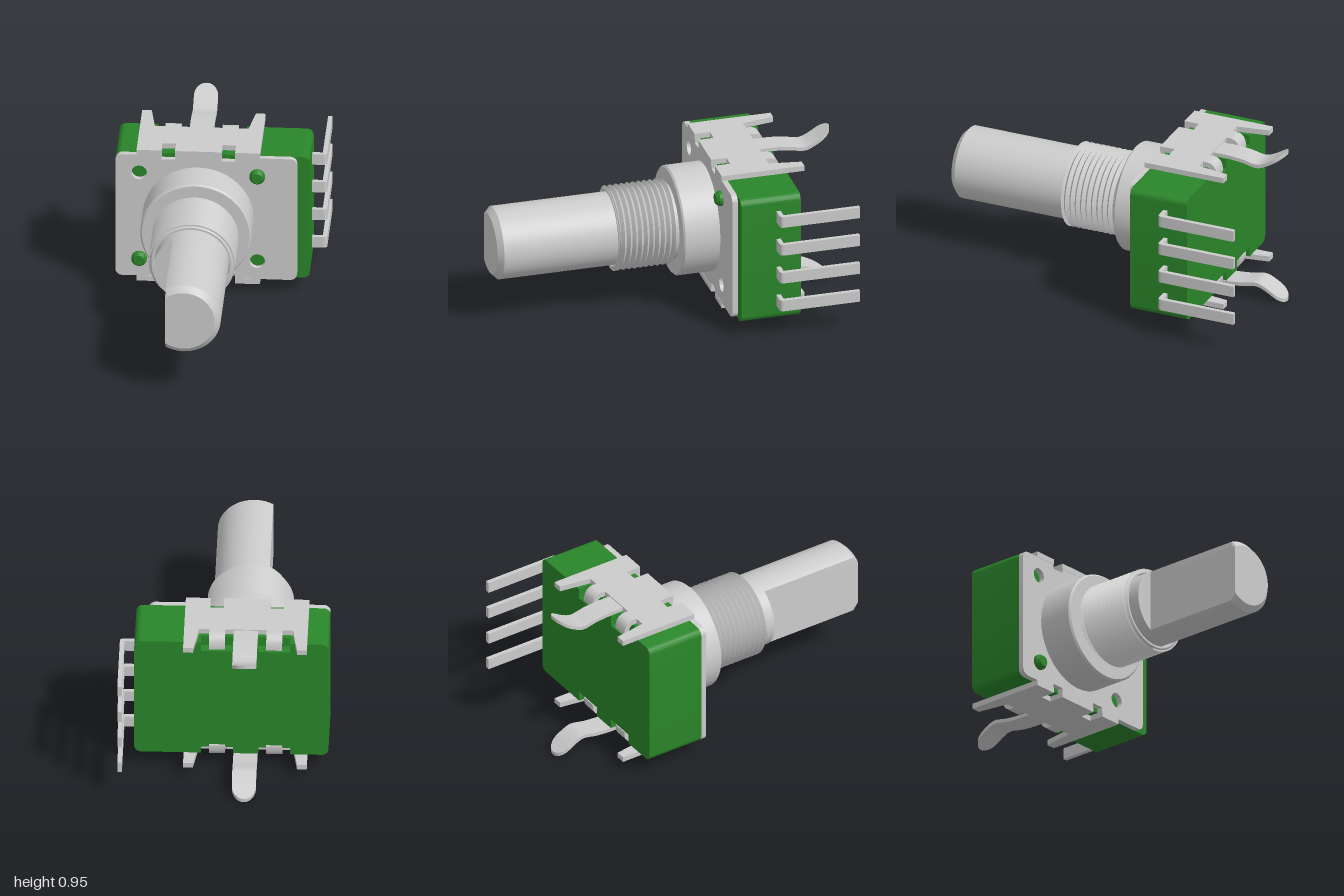
import * as THREE from 'three';
import { toCreasedNormals } from 'three/addons/utils/BufferGeometryUtils.js';

const metal = new THREE.MeshStandardMaterial({ color: 0xcccccc });
const green = new THREE.MeshStandardMaterial({ color: 0x2a862a });

function part(parent, name, geometry, material = metal) {
  const mesh = new THREE.Mesh(toCreasedNormals(geometry, 0.5), material);
  mesh.name = name;
  parent.add(mesh);
  return mesh;
}

function polygon(points) {
  return new THREE.Shape(points.map(([x, y]) => new THREE.Vector2(x, y)));
}

function extrude(shape, depth) {
  return new THREE.ExtrudeGeometry(shape, { depth, bevelEnabled: false, curveSegments: 16 });
}

// Rounded rectangle with pairs of notches [x0, x1, depth] cut in its top and bottom edges
function notchedPanel(x0, x1, h, r, notches) {
  const s = new THREE.Shape();
  s.moveTo(x0 + r, -h);
  for (const [a, b, d] of notches) {
    s.lineTo(a, -h); s.lineTo(a, -h + d); s.lineTo(b, -h + d); s.lineTo(b, -h);
  }
  s.lineTo(x1 - r, -h);
  s.absarc(x1 - r, -h + r, r, -Math.PI / 2, 0, false);
  s.absarc(x1 - r, h - r, r, 0, Math.PI / 2, false);
  for (const [a, b, d] of [...notches].reverse()) {
    s.lineTo(b, h); s.lineTo(b, h - d); s.lineTo(a, h - d); s.lineTo(a, h);
  }
  s.absarc(x0 + r, h - r, r, Math.PI / 2, Math.PI, false);
  s.absarc(x0 + r, -h + r, r, Math.PI, Math.PI * 1.5, false);
  return s;
}

// Lathe profile of [radius, z] turned about the z axis
function turned(profile, segments = 72) {
  return new THREE.LatheGeometry(profile.map(([r, z]) => new THREE.Vector2(r, z)), segments).rotateX(Math.PI / 2);
}

// Helical ridges: rows alternate crest and root and climb one pitch per turn
function threadGeometry(z0, z1, crest, root, turns) {
  const pitch = (z1 - z0) / turns;
  const g = new THREE.CylinderGeometry(1, 1, z1 - z0 + pitch, 72, (turns + 1) * 2, true);
  const p = g.attributes.position, uv = g.attributes.uv;
  for (let i = 0; i < p.count; i++) {
    const row = Math.round((1 - uv.getY(i)) * (turns + 1) * 2);
    const r = row % 2 ? crest : root;
    const z = z1 + pitch - row * pitch / 2 - pitch * uv.getX(i);
    p.setXYZ(i, p.getX(i) * r, THREE.MathUtils.clamp(z, z0, z1), p.getZ(i) * r);
  }
  return g.rotateX(Math.PI / 2);
}

// Bent spring tongue with a round tip
function tongueGeometry() {
  const g = new THREE.BoxGeometry(1, 0.022, 1, 1, 1, 40);
  const p = g.attributes.position;
  const bend = new THREE.CatmullRomCurve3([
    [0.55, 0.4], [0.66, 0.4], [0.75, 0.392], [0.84, 0.377], [0.9, 0.4], [1, 0.465],
  ].map(([v, y]) => new THREE.Vector3(v, y, 0))).getPoints(120);
  for (let i = 0; i < p.count; i++) {
    const v = 0.55 + 0.45 * Math.sin((0.5 - p.getZ(i)) * Math.PI / 2);
    const d = Math.min((1 - v) / 0.0685, 1);
    const k = Math.min(Math.max(bend.findIndex(q => q.x >= v - 1e-6), 1), 120);
    const a = bend[k - 1], b = bend[k];
    const y = THREE.MathUtils.mapLinear(v, a.x, b.x, a.y, b.y);
    const w = 0.137 * Math.sqrt(Math.max(0, 1 - (1 - d) ** 2));
    p.setXYZ(i, p.getX(i) * w, p.getY(i) + y, -v);
  }
  return g;
}

// Folded flap with side prongs, hooked clips and spring tongue
function mountingFlap() {
  const flap = new THREE.Group();
  flap.name = 'mountingFlap';
  const half = [[0.132, 0.27], [0.132, 0.36], [0.209, 0.36], [0.209, 0.27], [0.35, 0.27],
    [0.35, 0.757], [0.295, 0.757], [0.266, 0.57]];
  const mirrored = half.map(([x, v]) => [-x, v]).reverse();
  part(flap, 'flapSheet', extrude(polygon([...half, ...mirrored]), 0.032)
    .rotateX(-Math.PI / 2).translate(0, 0.385, 0));
  part(flap, 'springTongue', tongueGeometry());

  const hook = new THREE.Shape();
  hook.moveTo(0.56, 0.385);
  hook.lineTo(0.59, 0.385);
  hook.quadraticCurveTo(0.622, 0.385, 0.622, 0.335);
  hook.lineTo(0.653, 0.335);
  hook.quadraticCurveTo(0.653, 0.417, 0.59, 0.417);
  hook.lineTo(0.56, 0.417);
  for (const x of [-0.162, 0.162]) {
    part(flap, 'hookedClip', extrude(hook, 0.09).rotateY(Math.PI / 2).translate(x - 0.045, 0, 0));
  }
  return flap;
}

export function createModel() {
  const model = new THREE.Group();
  model.name = 'rotaryControl';
  const unit = new THREE.Group(); // origin on the shaft axis
  unit.name = 'assembly';
  unit.position.set(-0.125, 0.48, 0);
  model.add(unit);

  // Housing, with clip pockets at the back
  part(unit, 'housing', extrude(notchedPanel(-0.47, 0.63, 0.385, 0.04, []), 0.29).translate(0, 0, -0.595), green);
  const pockets = [[-0.252, -0.072, 0.06], [0.072, 0.252, 0.06]];
  part(unit, 'housingBack', extrude(notchedPanel(-0.47, 0.63, 0.385, 0.04, pockets), 0.06).translate(0, 0, -0.655), green);

  // Front plate with locating holes
  const panel = notchedPanel(-0.47, 0.56, 0.385, 0.04, [[-0.209, -0.132, 0.025], [0.132, 0.209, 0.025]]);
  for (const x of [-0.335, 0.335]) for (const y of [-0.272, 0.272]) {
    panel.holes.push(new THREE.Path().absarc(x, y, 0.044, 0, Math.PI * 2, true));
  }
  part(unit, 'frontPlate', extrude(panel, 0.033).translate(0, 0, -0.305));

  // Locating posts in two opposite holes
  for (const s of [-1, 1]) {
    part(unit, 'locatingPost', turned([[0.044, -0.31], [0.044, -0.255], [0.03, -0.235], [0, -0.235]], 32)
      .translate(s * 0.335, s * 0.272, 0), green);
  }

  // Bushing and thread
  part(unit, 'bushing', turned([[0.315, -0.28], [0.315, -0.068], [0.305, -0.058], [0.222, -0.058],
    [0.222, 0.29], [0.238, 0.29], [0.228, 0.3], [0.216, 0.3], [0.21, 0.27]]));
  part(unit, 'bushingThread', threadGeometry(-0.04, 0.293, 0.245, 0.222, 10));

  // Shaft with a flat along its front length
  const shaft = turned([[0.21, 0.2], [0.21, 0.365], [0.21, 0.3651], [0.21, 0.968], [0.177, 1], [0, 1]]);
  const p = shaft.attributes.position;
  for (let i = 0; i < p.count; i++) {
    if (p.getZ(i) > 0.36505) p.setX(i, Math.max(p.getX(i), -0.104));
  }
  part(unit, 'shaft', shaft);

  // Flaps above and below
  for (const angle of [0, Math.PI]) {
    const flap = mountingFlap();
    flap.rotation.z = angle;
    unit.add(flap);
  }

  // Four bent terminal pins
  const bend = new THREE.Shape();
  bend.moveTo(0.6, 0.511);
  bend.lineTo(0.69, 0.511);
  bend.quadraticCurveTo(0.715, 0.511, 0.715, 0.536);
  bend.lineTo(0.715, 0.98);
  bend.lineTo(0.689, 0.98);
  bend.lineTo(0.689, 0.537);
  bend.lineTo(0.6, 0.537);
  for (let i = 0; i < 4; i++) {
    part(unit, 'terminalPin', extrude(bend, 0.067).rotateX(-Math.PI / 2)
      .translate(0, (i - 1.5) * 0.176 - 0.0335, 0));
  }
  return model;
}
